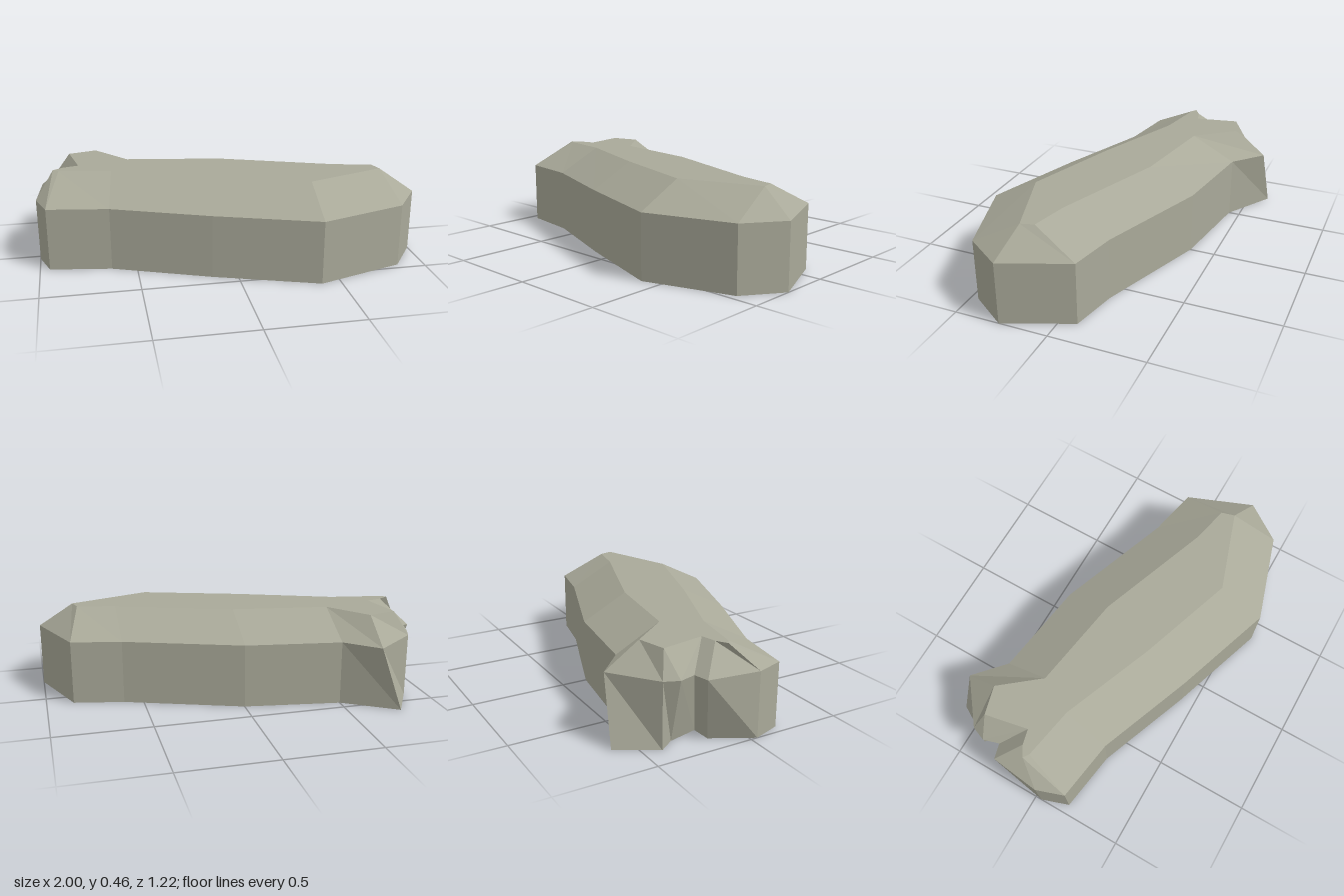
import * as THREE from 'three';

const EAVE = 0.335, TOP = 0.46;

// Each station around the outline: eave [x, z], ridge [x, z], and a base [x, z] where the wall leans
const STATIONS = [
  { eave: [-0.66, -0.585], ridge: [-0.665, -0.405], base: [-0.77, -0.61] },
  { eave: [-0.5, -0.44], ridge: [-0.5, -0.2] },
  { eave: [0, -0.365], ridge: [0, -0.12] },
  { eave: [0.6, -0.145], ridge: [0.6, 0.1] },
  { eave: [0.86, -0.09], ridge: [0.8, 0.145] },
  { eave: [1, 0.26], ridge: [0.82, 0.215] },
  { eave: [0.86, 0.46], ridge: [0.82, 0.215] },
  { eave: [0.4, 0.605], ridge: [0.4, 0.357] },
  { eave: [-0.13, 0.425], ridge: [-0.11, 0.185] },
  { eave: [-0.63, 0.23], ridge: [-0.6, -0.01] },
  { eave: [-0.95, 0.18], ridge: [-0.875, -0.06] },
  { eave: [-1, 0.035], ridge: [-0.905, -0.08] },
  // notch in the end
  { eave: [-0.97, -0.23], ridge: [-0.85, -0.115], base: [-0.89, -0.17] },
  { eave: [-0.89, -0.25], ridge: [-0.77, -0.135], base: [-0.79, -0.177] },
  { eave: [-0.915, -0.335], ridge: [-0.77, -0.135], base: [-0.828, -0.33] },
  { eave: [-0.885, -0.41], ridge: [-0.815, -0.365] },
];

const ring = (key, y) => STATIONS.map((s) => {
  const [x, z] = s[key] ?? s.eave;
  return new THREE.Vector3(x, y, z);
});

// Unshared corners give every facet its own flat normal
function facets(triangles) {
  const solid = triangles.filter((t) => new THREE.Triangle(...t).getArea() > 1e-6);
  const geometry = new THREE.BufferGeometry().setFromPoints(solid.flat());
  geometry.computeVertexNormals();
  return geometry;
}

// Band of quads between two rings
function band(low, high) {
  const triangles = [];
  low.forEach((a, i) => {
    const j = (i + 1) % low.length;
    triangles.push([a, high[i], high[j]], [a, high[j], low[j]]);
  });
  return facets(triangles);
}

// Flat cap facing up (+1) or down (-1)
function cap(points, facing) {
  // drop repeated neighbours before filling
  const loop = points.filter((p, i) => !p.equals(points[(i + 1) % points.length]));
  const faces = THREE.ShapeUtils.triangulateShape(loop.map((p) => new THREE.Vector2(p.x, p.z)), []);
  return facets(faces.map((f) => {
    const t = f.map((i) => loop[i]);
    const normal = new THREE.Triangle(...t).getNormal(new THREE.Vector3());
    return normal.y * facing < 0 ? t.reverse() : t;
  }));
}

export function createModel() {
  const stone = new THREE.MeshStandardMaterial({ color: 0xa9a999 });
  stone.name = 'grey stone';

  const base = ring('base', 0);
  const eave = ring('eave', EAVE);
  const ridge = ring('ridge', TOP);

  const model = new THREE.Group();
  model.name = 'stoneSlab';
  const add = (name, geometry) => {
    const mesh = new THREE.Mesh(geometry, stone);
    mesh.name = name;
    model.add(mesh);
  };

  add('walls', band(base, eave));
  add('bevelledSlopes', band(eave, ridge));
  add('flatTop', cap(ridge, 1));
  add('underside', cap(base, -1));
  return model;
}
